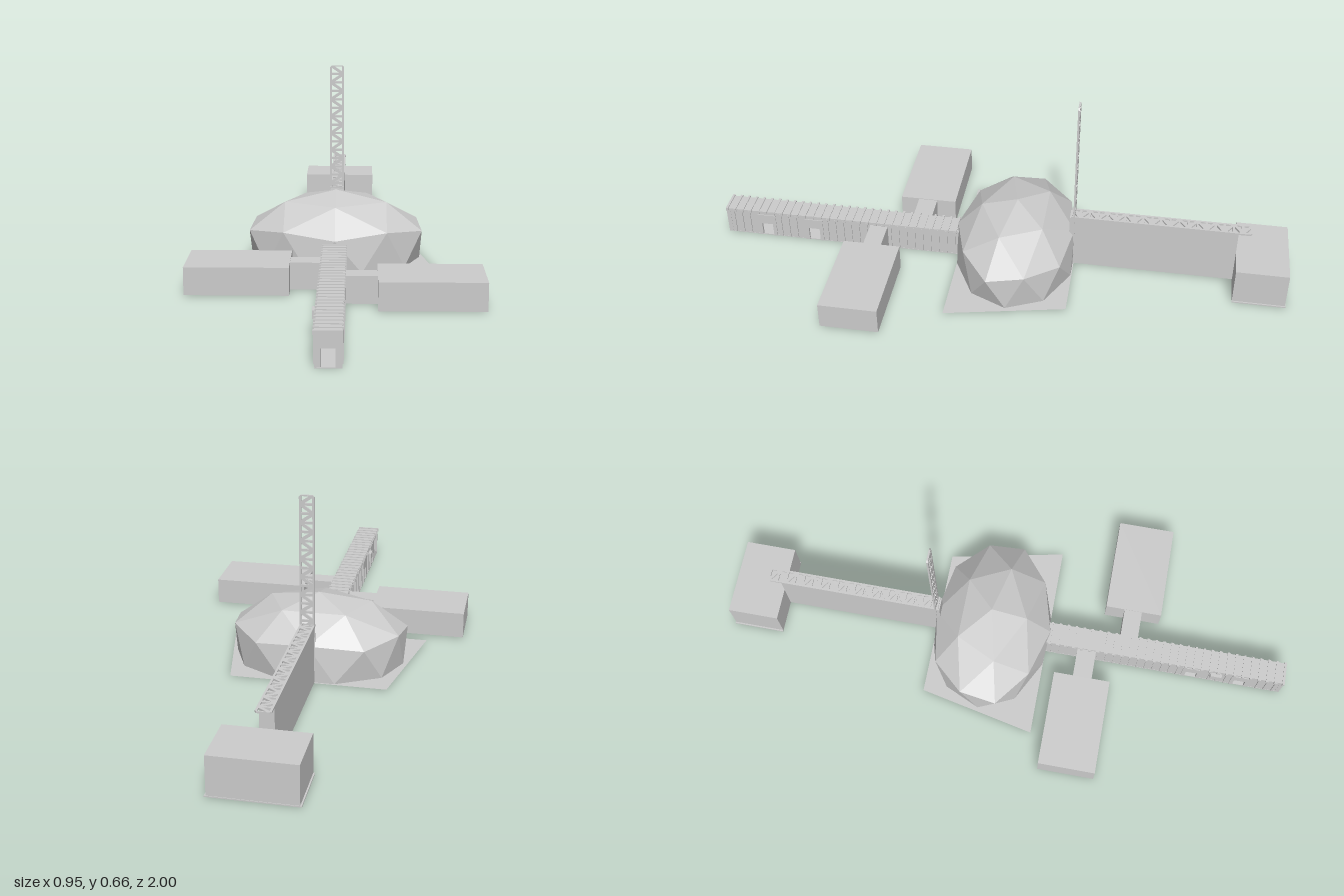
import * as THREE from 'three';

const mat = new THREE.MeshStandardMaterial({ color: 0xcccccc, flatShading: true, side: THREE.DoubleSide });

function add(parent, name, geometry) {
  const mesh = new THREE.Mesh(geometry, mat);
  mesh.name = name;
  parent.add(mesh);
  return mesh;
}

// box given by its minimum and maximum on each axis
function block(parent, name, x0, x1, y0, y1, z0, z1) {
  const mesh = add(parent, name, new THREE.BoxGeometry(x1 - x0, y1 - y0, z1 - z0));
  mesh.position.set((x0 + x1) / 2, (y0 + y1) / 2, (z0 + z1) / 2);
  return mesh;
}

function polygon(points, Type = THREE.Shape) {
  return new Type(points.map(([x, y]) => new THREE.Vector2(x, y)));
}

// squashed geodesic dome: apex, three rings, ground ring of ten
function domeGeometry() {
  const cz = -0.06, pos = [];
  const p = (r, y, deg, sx = 0.35, sz = 0.237) => {
    const a = THREE.MathUtils.degToRad(deg);
    return [Math.sin(a) * r * sx, y, cz + Math.cos(a) * r * sz];
  };
  const top = [0, 0.245, cz];
  const upper = (k) => p(0.526, 0.21, 72 * k);
  const corner = (k) => p(0.894, 0.115, 72 * k);
  const middle = (k) => p(0.851, 0.132, 72 * k + 36);
  const foot = (k) => p(1, 0.003, 36 * k + 18, 0.293, 0.212);
  const tri = (a, b, c) => pos.push(...a, ...b, ...c);
  for (let k = 0; k < 5; k++) {
    tri(top, upper(k), upper(k + 1));
    tri(upper(k), middle(k), upper(k + 1));
    tri(upper(k), corner(k), middle(k));
    tri(upper(k + 1), middle(k), corner(k + 1));
    tri(corner(k), foot(2 * k), middle(k));
    tri(middle(k), foot(2 * k), foot(2 * k + 1));
    tri(middle(k), foot(2 * k + 1), corner(k + 1));
    tri(corner(k + 1), foot(2 * k + 1), foot(2 * k + 2));
  }
  const g = new THREE.BufferGeometry();
  g.setAttribute('position', new THREE.Float32BufferAttribute(pos, 3));
  g.computeVertexNormals();
  return g;
}

// flat truss panel standing on its short side, pierced by pairs of triangles
function latticeGeometry(length, depth) {
  const w = 0.025, cells = 20, h = length / cells;
  const shape = polygon([[-w, 0], [w, 0], [w, length - 0.006], [w - 0.006, length], [-w + 0.006, length], [-w, length - 0.006]]);
  for (let i = 0; i < cells; i++) {
    const s = i % 2 ? -1 : 1, y = i * h;
    shape.holes.push(polygon([[-0.018 * s, y + 0.009], [-0.018 * s, y + h - 0.004], [0.008 * s, y + h - 0.004]], THREE.Path));
    shape.holes.push(polygon([[-0.008 * s, y + 0.004], [0.018 * s, y + 0.004], [0.018 * s, y + h - 0.009]], THREE.Path));
  }
  const g = new THREE.ExtrudeGeometry(shape, { depth, bevelEnabled: false });
  g.translate(0, 0, -depth / 2);
  return g;
}

// corridor side wall running along z, with two doorways
function wallGeometry(z0, z1, height, thickness, doors) {
  const points = [[z0, 0]];
  for (const [a, b] of doors) points.push([a, 0], [a, 0.052], [b, 0.052], [b, 0]);
  points.push([z1, 0], [z1, height], [z0, height]);
  const g = new THREE.ExtrudeGeometry(polygon(points), { depth: thickness, bevelEnabled: false });
  g.rotateY(-Math.PI / 2); // drawing x becomes z
  g.translate(thickness / 2, 0, 0);
  return g;
}

function createCorridor() {
  const corridor = new THREE.Group();
  corridor.name = 'corridor';
  const doors = [[0.655, 0.695], [0.83, 0.87]];
  block(corridor, 'corridorFloor', -0.038, 0.038, 0, 0.003, 0.14, 1);
  block(corridor, 'corridorRoof', -0.038, 0.038, 0.096, 0.104, 0.14, 1);
  for (const side of [-1, 1]) {
    add(corridor, 'corridorWall', wallGeometry(0.14, 1, 0.1, 0.006, doors)).position.x = side * 0.034;
    // entrance posts
    block(corridor, 'entrancePost', side * 0.029 - 0.009, side * 0.029 + 0.009, 0, 0.098, 0.985, 0.998);
    // raised door surrounds
    for (const [a, b] of doors) {
      const x0 = side * 0.038 - 0.002, x1 = side * 0.038 + 0.002;
      block(corridor, 'doorLintel', x0, x1, 0.052, 0.09, a - 0.013, b + 0.013);
      block(corridor, 'doorJamb', x0, x1, 0, 0.052, a - 0.013, a);
      block(corridor, 'doorJamb', x0, x1, 0, 0.052, b, b + 0.013);
    }
    // ribs on the walls, left clear of the doorways
    for (let i = 0; i < 29; i++) {
      const z = 0.16 + i * 0.029;
      if (doors.some(([a, b]) => z > a - 0.018 && z < b + 0.018)) continue;
      block(corridor, 'wallRib', side * 0.038 - 0.003, side * 0.038 + 0.003, 0.003, 0.1, z - 0.003, z + 0.003);
    }
  }
  block(corridor, 'entranceLintel', -0.02, 0.02, 0.056, 0.098, 0.985, 0.998);
  for (let i = 0; i < 30; i++) {
    const z = 0.155 + i * 0.029;
    block(corridor, 'roofRib', -0.043, 0.041, 0.094, 0.107, z - 0.004, z + 0.004);
  }
  block(corridor, 'wallPanel', -0.052, -0.038, 0.062, 0.088, 0.74, 0.78);
  return corridor;
}

export function createModel() {
  const model = new THREE.Group();
  model.name = 'outpost';

  // dome on its tapered ground sheet
  add(model, 'dome', domeGeometry());
  const sheet = new THREE.ShapeGeometry(polygon([[-0.35, -0.143], [0.35, -0.143], [0.265, 0.265], [-0.265, 0.265]]));
  sheet.rotateX(-Math.PI / 2);
  add(model, 'groundSheet', sheet).position.y = 0.002;

  model.add(createCorridor());

  // staggered side rooms with their links
  block(model, 'rightRoom', -0.475, -0.14, 0.003, 0.095, 0.19, 0.39);
  block(model, 'rightLink', -0.14, -0.036, 0.003, 0.093, 0.258, 0.325);
  block(model, 'leftRoom', 0.14, 0.475, 0.003, 0.095, 0.335, 0.535);
  block(model, 'leftLink', 0.036, 0.14, 0.003, 0.093, 0.402, 0.465);

  // tall rear passage, open underneath
  for (const side of [-1, 1]) {
    block(model, 'passageWall', side * 0.021 - 0.002, side * 0.021 + 0.002, 0.003, 0.203, -0.82, -0.245);
  }
  block(model, 'passageFront', -0.019, 0.019, 0.003, 0.203, -0.249, -0.245);
  block(model, 'passageRear', -0.019, 0.019, 0.003, 0.203, -0.82, -0.816);
  block(model, 'passageRoof', -0.019, 0.019, 0.199, 0.203, -0.816, -0.249);

  // lattice walkway and mast share one panel design
  const lattice = latticeGeometry(0.615, 0.006);
  const walkway = add(model, 'latticeWalkway', lattice);
  walkway.rotation.x = -Math.PI / 2;
  walkway.position.set(0, 0.207, -0.25);
  add(model, 'latticeMast', lattice).position.set(0, 0.04, -0.26);

  // rear hut on a base plate
  block(model, 'hutBase', -0.14, 0.14, 0, 0.004, -1, -0.82);
  block(model, 'rearHut', -0.135, 0.135, 0.004, 0.132, -0.998, -0.82);

  return model;
}
